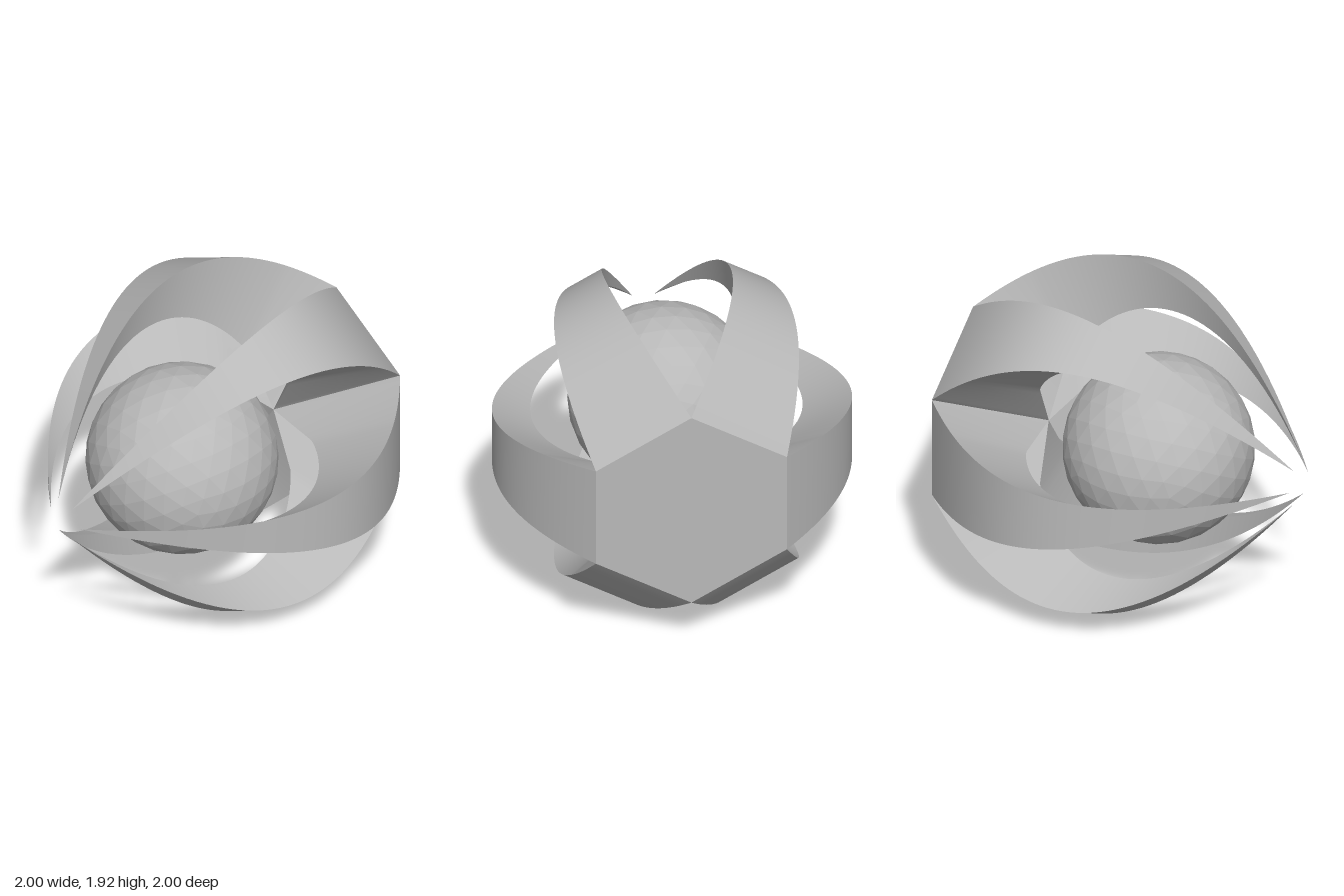
import * as THREE from 'three';

const AXIS_Y = 0.96, STEPS = 48;
const grey = new THREE.MeshStandardMaterial({ color: 0xb8b8b8 });
grey.name = 'grey';

// Claw profiles as (radius from axis, z)
const v2 = (r, z) => new THREE.Vector2(r, z);
const outerCurve = new THREE.CubicBezierCurve(v2(0.535, -1), v2(1.1, -0.5), v2(1.35, 0.1), v2(0.12, 1));
const ridgeCurve = new THREE.CubicBezierCurve(v2(0.36, -0.505), v2(0.82, -0.3), v2(1.04, 0.25), v2(0.12, 1));
const ridgeRoot = v2(0, -0.535);

// The ridge runs straight out from the axis, then bends forward to the tip
function ridgePoint(t) {
  const k = 0.17;
  return t < k
    ? ridgeRoot.clone().lerp(ridgeCurve.v0, t / k)
    : ridgeCurve.getPoint((t - k) / (1 - k));
}

// Ruled surface between two rows of points
function strip(a, b) {
  const pos = [], index = [];
  a.forEach((p, i) => {
    pos.push(...p, ...b[i]);
    if (i < a.length - 1) {
      const n = 2 * i;
      index.push(n, n + 1, n + 2, n + 1, n + 3, n + 2);
    }
  });
  const g = new THREE.BufferGeometry();
  g.setAttribute('position', new THREE.Float32BufferAttribute(pos, 3));
  g.setIndex(index);
  g.computeVertexNormals();
  return g;
}

function part(geometry, name) {
  const m = new THREE.Mesh(geometry, grey);
  m.name = name;
  return m;
}

// Triangular-section claw: broad outer band tapering to a point, two sides meeting in a ridge
function makeClaw() {
  const left = [], right = [], ridge = [];
  for (let i = 0; i <= STEPS; i++) {
    const t = i / STEPS;
    const o = outerCurve.getPoint(t), q = ridgePoint(t);
    const w = 0.1545 * (1 - o.y);
    left.push([o.x, w, o.y]);
    right.push([o.x, -w, o.y]);
    ridge.push([q.x, 0, q.y]);
  }
  const claw = new THREE.Group();
  claw.name = 'claw';
  claw.add(
    part(strip(right, left), 'clawOuterBand'),
    part(strip(left, ridge), 'clawLeftSide'),
    part(strip(ridge, right), 'clawRightSide')
  );
  return claw;
}

export function createModel() {
  const model = new THREE.Group();
  model.name = 'clawedOrb';

  // Six claws around the z axis
  for (let i = 0; i < 6; i++) {
    const claw = makeClaw();
    claw.rotation.z = (i * Math.PI) / 3;
    claw.position.y = AXIS_Y;
    model.add(claw);
  }

  // Flat hexagonal back
  const back = part(new THREE.CircleGeometry(0.535 / Math.cos(Math.PI / 6), 6, Math.PI / 6), 'backPlate');
  back.rotation.y = Math.PI;
  back.position.set(0, AXIS_Y, -1);
  model.add(back);

  // Faceted ball held inside the claws
  const ballGeometry = new THREE.IcosahedronGeometry(0.537, 4);
  ballGeometry.computeVertexNormals();
  const ball = part(ballGeometry, 'ball');
  ball.position.set(0, AXIS_Y, 0.14);
  model.add(ball);

  return model;
}
